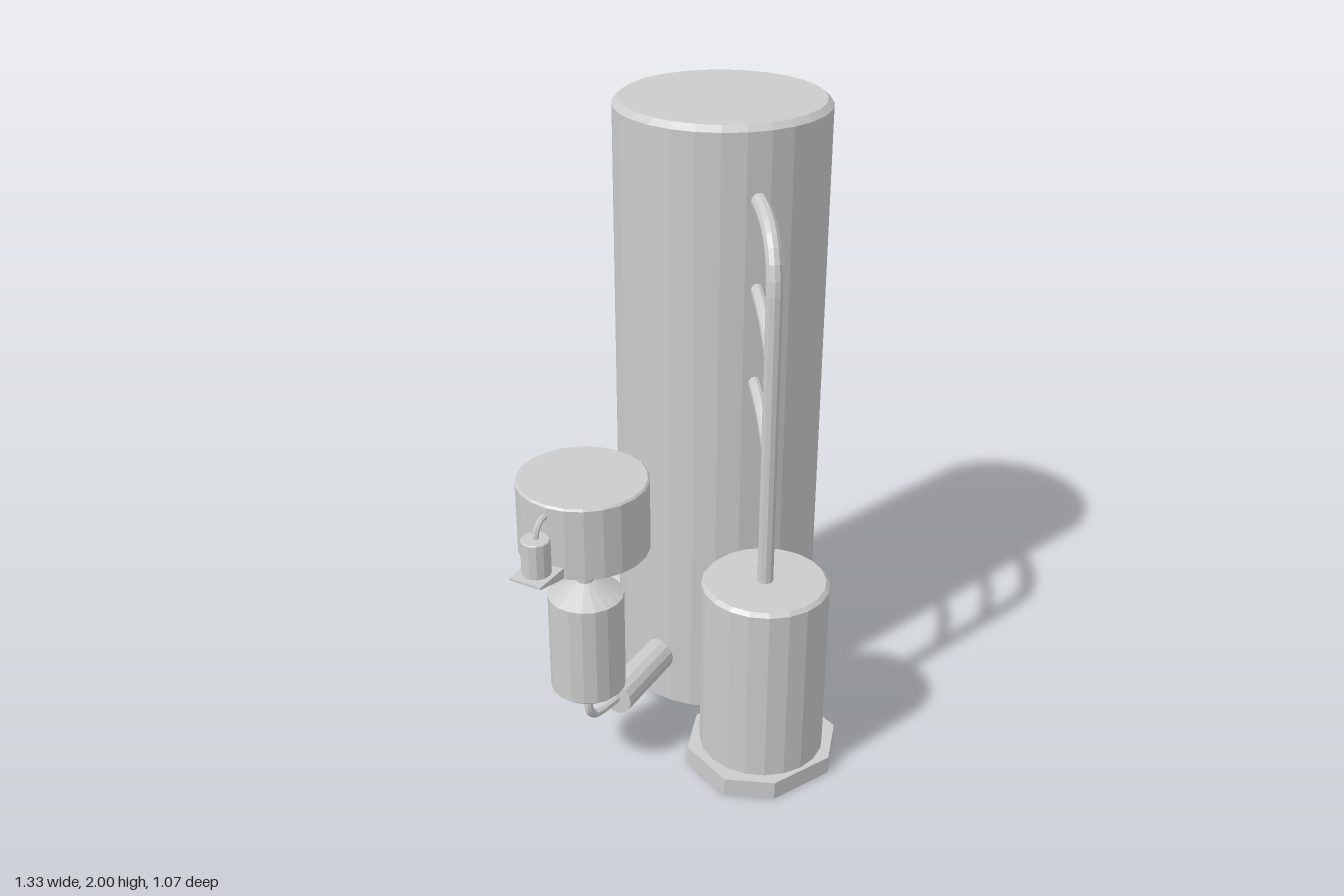
import * as THREE from 'three';

const material = new THREE.MeshStandardMaterial({ color: 0xcccccc, flatShading: true, side: THREE.DoubleSide });
const v = (x, y, z) => new THREE.Vector3(x, y, z);

export function createModel() {
  const model = new THREE.Group();

  function add(name, geometry, x = 0, y = 0, z = 0) {
    const mesh = new THREE.Mesh(geometry, material);
    mesh.name = name;
    mesh.position.set(x, y, z);
    model.add(mesh);
    return mesh;
  }

  // Turned vessel: profile of [radius, height] pairs, closed on the axis
  function vessel(name, x, z, profile, sides) {
    const points = profile.map(([r, y]) => new THREE.Vector2(r, y));
    return add(name, new THREE.LatheGeometry(points, sides), x, 0, z);
  }

  // Drum with a small bevel around the top rim
  function drum(name, x, z, radius, y0, y1, sides, bevel = 0.012) {
    return vessel(name, x, z, [[0, y0], [radius, y0], [radius, y1 - bevel], [radius - bevel, y1], [0, y1]], sides);
  }

  function pipe(name, path, radius, steps = 12, sides = 10) {
    return add(name, new THREE.TubeGeometry(path, steps, radius, sides));
  }

  // Main tower
  drum('tower', 0.33, -0.205, 0.332, 0.01, 2, 28, 0.018);

  // Front tank on an uneven octagonal plinth
  const corners = [[-0.007, 0.533], [0.21, 0.537], [0.333, 0.425], [0.338, 0.23],
    [0.225, 0.122], [0.007, 0.115], [-0.117, 0.23], [-0.12, 0.425]];
  const plinth = new THREE.Shape(corners.map(([x, z]) => new THREE.Vector2(x, -z)));
  const plinthGeometry = new THREE.ExtrudeGeometry(plinth, { depth: 0.06, bevelEnabled: false });
  add('plinth', plinthGeometry.rotateX(-Math.PI / 2), 0, 0.005, 0);
  drum('frontTank', 0.107, 0.325, 0.197, 0.06, 0.66, 20);

  // Riser pipe bending into the tower
  const riser = new THREE.CurvePath();
  riser.add(new THREE.LineCurve3(v(0.105, 0.64, 0.325), v(0.105, 1.58, 0.325)));
  riser.add(new THREE.CubicBezierCurve3(v(0.105, 1.58, 0.325), v(0.105, 1.74, 0.325), v(0.16, 1.78, 0.225), v(0.23, 1.78, 0.09)));
  pipe('riserPipe', riser, 0.025, 32);

  // Two branch pipes from the riser to the tower
  for (const y of [1.06, 1.36]) {
    pipe('branchPipe', new THREE.QuadraticBezierCurve3(
      v(0.105, y, 0.325), v(0.14, y + 0.14, 0.25), v(0.225, y + 0.15, 0.1)), 0.019);
  }

  // Upper side drum, its neck and the conical-ended flask below
  const sx = -0.368, sz = 0.05;
  drum('upperDrum', sx, sz, 0.197, 0.82, 1.05, 22, 0.006);
  add('neck', new THREE.CylinderGeometry(0.027, 0.027, 0.16, 10), sx, 0.765, sz);
  vessel('flask', sx, sz, [[0, 0.275], [0.02, 0.275], [0.105, 0.315], [0.116, 0.325],
    [0.116, 0.652], [0.03, 0.7], [0, 0.7]], 18);

  // Drain pipe under the flask, leading to the feed cylinder
  const drain = new THREE.CatmullRomCurve3([v(sx, 0.29, sz), v(sx, 0.215, sz),
    v(-0.35, 0.19, 0.046), v(-0.32, 0.184, 0.04), v(-0.235, 0.184, 0.015)]);
  pipe('drainPipe', drain, 0.014, 18, 8);

  // Feed cylinder running into the tower
  const feedStart = v(-0.245, 0.184, 0.018), feedEnd = v(0.06, 0.184, -0.125);
  const axis = feedEnd.clone().sub(feedStart);
  const middle = feedStart.clone().add(feedEnd).multiplyScalar(0.5);
  const feed = add('feedCylinder', new THREE.CylinderGeometry(0.054, 0.054, axis.length(), 14), middle.x, middle.y, middle.z);
  feed.quaternion.setFromUnitVectors(v(0, 1, 0), axis.normalize());

  // Wedge shelf on the upper drum, thicker toward the drum
  const shelf = new THREE.Shape([[0, 0.857], [0.17, 0.857], [0.17, 0.825], [0.11, 0.825], [0, 0.85]]
    .map(([x, y]) => new THREE.Vector2(x, y)));
  const shelfGeometry = new THREE.ExtrudeGeometry(shelf, { depth: 0.105, bevelEnabled: false });
  add('shelf', shelfGeometry, -0.672, 0, 0.128).rotation.y = 0.42;

  // Small canister on the shelf with its thin tube
  drum('canister', -0.593, 0.147, 0.043, 0.85, 0.967, 12, 0.003);
  pipe('canisterTube', new THREE.CatmullRomCurve3([v(-0.593, 0.955, 0.147),
    v(-0.585, 0.99, 0.143), v(-0.565, 1.012, 0.135), v(-0.525, 1.015, 0.12)]), 0.009, 10, 6);

  return model;
}
